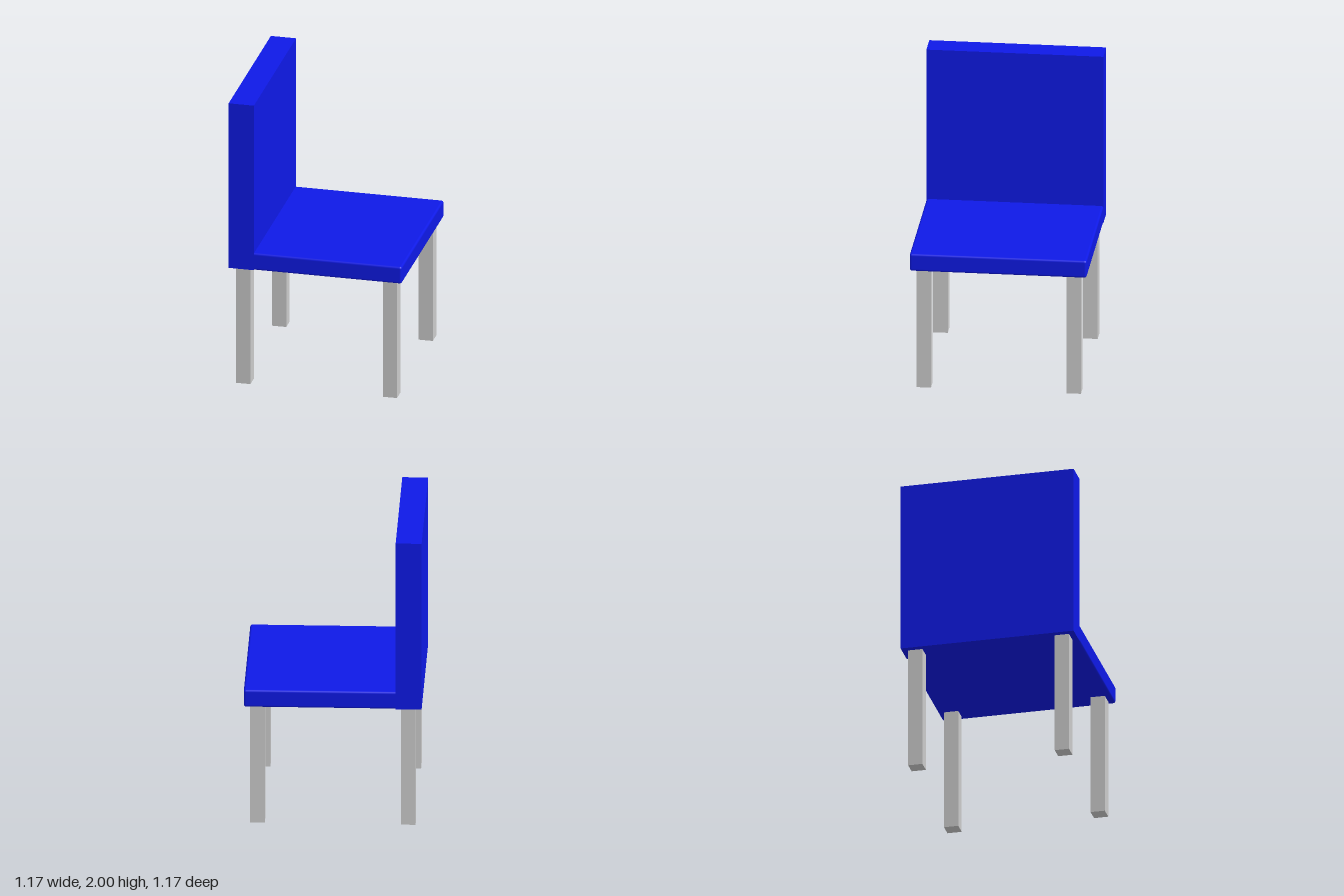
import * as THREE from 'three';
import { RoundedBoxGeometry } from 'three/addons/geometries/RoundedBoxGeometry.js';

const WIDTH = 1.166;       // seat and backrest footprint
const SEAT_BOTTOM = 0.83;
const SEAT_THICKNESS = 0.12;
const BACK_THICKNESS = 0.17;
const LEG_SIZE = 0.096;
const LEG_OFFSET = 0.494;

export function createModel() {
  const chair = new THREE.Group();
  chair.name = 'chair';
  const blue = new THREE.MeshStandardMaterial({ color: 0x0e19e6 });
  const grey = new THREE.MeshStandardMaterial({ color: 0xcccccc });

  const add = (name, geometry, material, x, y, z) => {
    const mesh = new THREE.Mesh(geometry, material);
    mesh.name = name;
    mesh.position.set(x, y, z);
    chair.add(mesh);
  };

  // Seat slab with softly rounded edges
  add('seat', new RoundedBoxGeometry(WIDTH, SEAT_THICKNESS, WIDTH, 3, 0.015), blue,
    0, SEAT_BOTTOM + SEAT_THICKNESS / 2, 0);

  // Sharp-edged backrest along the -x side, reaching down to the seat's underside
  const backHeight = 2 - SEAT_BOTTOM;
  add('backrest', new THREE.BoxGeometry(BACK_THICKNESS, backHeight, WIDTH), blue,
    (BACK_THICKNESS - WIDTH) / 2, SEAT_BOTTOM + backHeight / 2, 0);

  // Four square legs
  const legGeometry = new THREE.BoxGeometry(LEG_SIZE, SEAT_BOTTOM, LEG_SIZE);
  for (const sx of [-1, 1]) {
    for (const sz of [-1, 1]) {
      const name = (sz > 0 ? 'front' : 'back') + (sx > 0 ? 'Left' : 'Right') + 'Leg';
      add(name, legGeometry, grey, sx * LEG_OFFSET, SEAT_BOTTOM / 2, sz * LEG_OFFSET);
    }
  }
  return chair;
}
